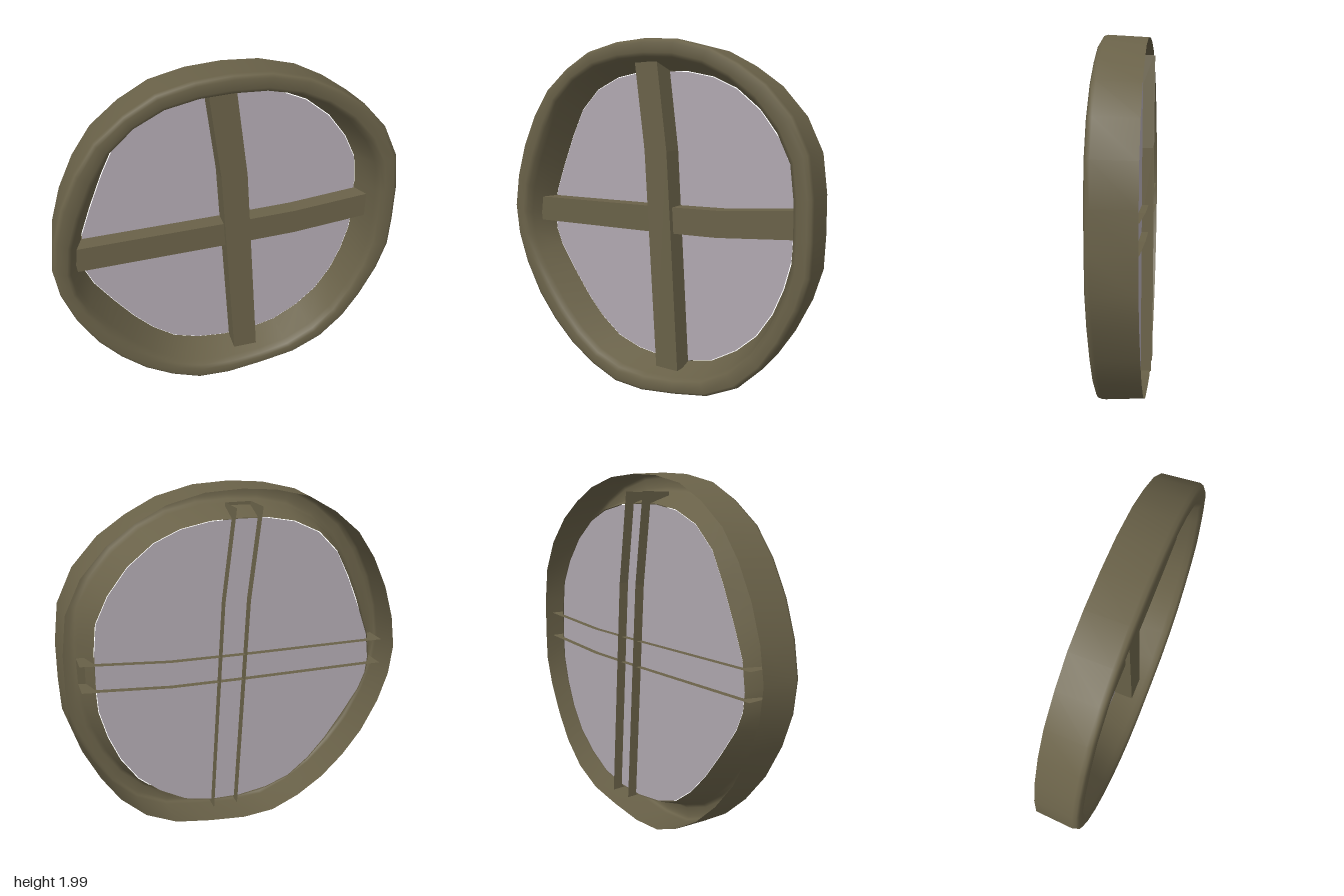
import * as THREE from 'three';

// Uneven outlines of the frame, clockwise from the top: outer rim and the rim around the glass
const OUTER = [
  [0, 2], [.2, 1.99], [.4, 1.94], [.56, 1.86], [.71, 1.76], [.85, 1.61], [.94, 1.43], [.97, 1.22],
  [.975, 1.01], [.97, .83], [.92, .66], [.83, .47], [.73, .31], [.59, .17], [.41, .08], [.2, .04],
  [-.02, .01], [-.21, .02], [-.38, .09], [-.54, .19], [-.68, .32], [-.8, .47], [-.9, .66], [-.96, .84],
  [-.98, 1.02], [-.95, 1.21], [-.89, 1.4], [-.8, 1.58], [-.69, 1.73], [-.54, 1.85], [-.38, 1.94], [-.19, 1.985],
];
const INNER = [
  [0, 1.835], [.16, 1.83], [.32, 1.8], [.46, 1.74], [.6, 1.63], [.71, 1.49], [.78, 1.35], [.8, 1.19],
  [.805, 1.02], [.8, .86], [.76, .7], [.7, .55], [.61, .41], [.49, .3], [.34, .21], [.18, .17],
  [0, .16], [-.17, .18], [-.32, .23], [-.45, .33], [-.56, .45], [-.67, .6], [-.77, .75], [-.81, .85],
  [-.82, .95], [-.8, 1.1], [-.74, 1.26], [-.66, 1.45], [-.58, 1.61], [-.46, 1.73], [-.31, 1.8], [-.15, 1.83],
];

// Cross-section of the frame, open at the back: [blend from outer to inner outline, z]
const PROFILE = [[.08, -.11], [0, .1], [.04, .12], [.14, .13], [.45, .13], [.58, .115], [.66, .08], [1, -.075]];

function frameGeometry() {
  const pos = [], index = [], n = OUTER.length, m = PROFILE.length;
  for (let i = 0; i < n; i++) {
    for (const [t, z] of PROFILE) {
      pos.push(
        THREE.MathUtils.lerp(OUTER[i][0], INNER[i][0], t),
        THREE.MathUtils.lerp(OUTER[i][1], INNER[i][1], t), z);
    }
    for (let j = 0; j < m - 1; j++) {
      const a = i * m + j, b = ((i + 1) % n) * m + j;
      index.push(a, a + 1, b, b, a + 1, b + 1);
    }
  }
  const geo = new THREE.BufferGeometry();
  geo.setAttribute('position', new THREE.Float32BufferAttribute(pos, 3));
  geo.setIndex(index);
  geo.computeVertexNormals();
  return geo;
}

// Bent channel, open at the back, swept along a few centre points; (wx, wy) is its half width
function barGeometry(path, wx, wy, front, back) {
  const pos = [];
  const section = ([x, y]) => [
    [x - wx, y - wy, back], [x - wx, y - wy, front], [x + wx, y + wy, front], [x + wx, y + wy, back],
  ];
  for (let i = 0; i < path.length - 1; i++) {
    const p = section(path[i]), q = section(path[i + 1]);
    for (let j = 0; j < 3; j++) {
      for (const v of [p[j], p[j + 1], q[j], q[j], p[j + 1], q[j + 1]]) pos.push(...v);
    }
  }
  const geo = new THREE.BufferGeometry();
  geo.setAttribute('position', new THREE.Float32BufferAttribute(pos, 3));
  geo.computeVertexNormals();
  return geo;
}

export function createModel() {
  const wood = new THREE.MeshStandardMaterial({ color: 0x696148, side: THREE.DoubleSide });
  wood.name = 'brown wood';
  const glass = new THREE.MeshStandardMaterial({ color: 0xb0a8b0, side: THREE.DoubleSide });
  glass.name = 'grey glass';

  const group = new THREE.Group();
  group.name = 'roundWindow';
  const add = (name, geo, mat) => {
    const mesh = new THREE.Mesh(geo, mat);
    mesh.name = name;
    group.add(mesh);
    return mesh;
  };

  add('frame', frameGeometry(), wood);

  // Glass sheet, a hair smaller than the opening
  const outline = INNER.map(([x, y]) => new THREE.Vector2(x * .995, 1 + (y - 1) * .995));
  add('pane', new THREE.ShapeGeometry(new THREE.Shape(outline)), glass).position.z = -.072;

  // Crossing bars; their sides pass through the glass to the back
  add('verticalBar', barGeometry([[.108, .15], [.03, 1.4], [-.035, 1.895]].reverse(), .072, 0, .05, -.13), wood);
  add('horizontalBar', barGeometry([[-.88, .993], [0, 1.012], [.4, 1.025], [.88, 1.07]], 0, .074, .02, -.108), wood);

  return group;
}
